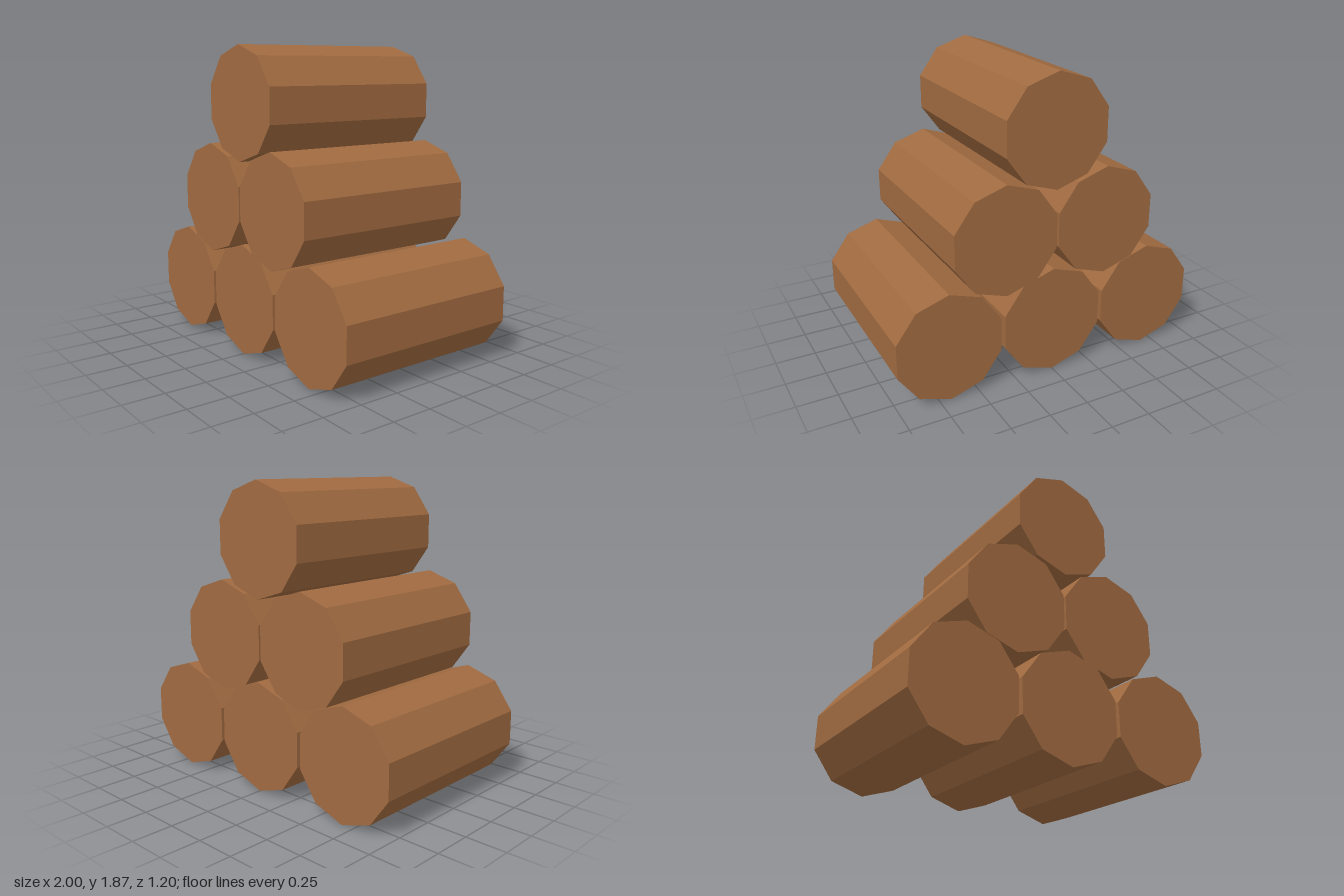
import * as THREE from 'three';

export function createModel() {
  const group = new THREE.Group();
  group.name = 'logPile';

  const radius = 0.342, length = 1.2;
  const bark = new THREE.MeshStandardMaterial({ color: 0xa06a40, flatShading: true });

  // Ten-sided log lying along z, with a corner at top and bottom
  const logGeometry = new THREE.CylinderGeometry(radius, radius, length, 10).rotateX(Math.PI / 2);

  // Rows from the ground up: centre height and the x of each log
  const rows = [
    { name: 'bottomLog', y: 0.343, xs: [-0.675, 0, 0.675] },
    { name: 'middleLog', y: 0.926, xs: [-0.353, 0.311] },
    { name: 'topLog', y: 1.524, xs: [-0.01] },
  ];

  for (const { name, y, xs } of rows) {
    xs.forEach((x, i) => {
      const log = new THREE.Mesh(logGeometry, bark);
      log.name = xs.length > 1 ? `${name}${i + 1}` : name;
      log.position.set(x, y, 0);
      group.add(log);
    });
  }
  return group;
}
